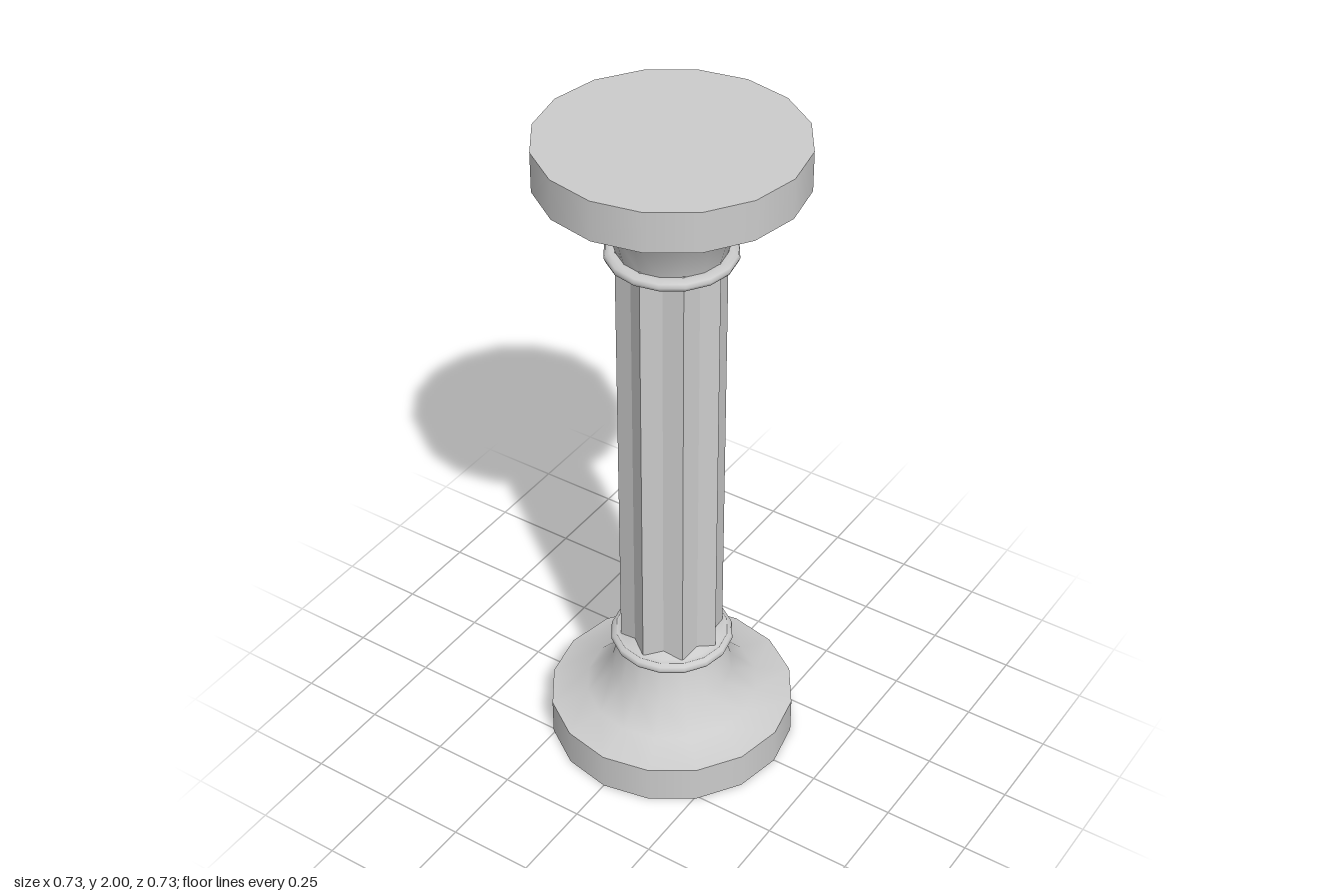
import * as THREE from 'three';

const SIDES = 16;
const material = new THREE.MeshStandardMaterial({ color: 0xcccccc });
const flatMaterial = new THREE.MeshStandardMaterial({ color: 0xcccccc, flatShading: true });

function addMesh(parent, name, geometry, mat = material) {
  const mesh = new THREE.Mesh(geometry, mat);
  mesh.name = name;
  parent.add(mesh);
  return mesh;
}

// Surface of revolution from [radius, height] pairs, listed bottom to top
function lathe(profile) {
  return new THREE.LatheGeometry(profile.map(([r, y]) => new THREE.Vector2(r, y)), SIDES);
}

// One end of the column: round slab, flared neck and collar
function createEnd(name) {
  const end = new THREE.Group();
  end.name = name;
  addMesh(end, 'slab', new THREE.CylinderGeometry(0.363, 0.363, 0.115, SIDES)).position.y = 0.0575;
  addMesh(end, 'flare', lathe([[0.363, 0.115], [0.255, 0.14], [0.18, 0.215], [0.148, 0.33]]));
  addMesh(end, 'collar', lathe([
    [0.145, 0.325], [0.165, 0.322], [0.177, 0.328], [0.181, 0.338],
    [0.177, 0.348], [0.165, 0.354],
  ]));
  // Sloping shoulder that meets the flutes in a zigzag
  addMesh(end, 'collarShoulder', lathe([[0.165, 0.354], [0.15, 0.355], [0.12, 0.38]]));
  return end;
}

// Fluted shaft: eight ridges with shallow valleys between them
function createShaft() {
  const ridge = 0.152, valley = 0.13;
  const geometry = new THREE.CylinderGeometry(1, 1, 1.36, SIDES, 1, true);
  const pos = geometry.attributes.position;
  for (let i = 0; i < pos.count; i++) {
    const step = Math.round(Math.atan2(pos.getX(i), pos.getZ(i)) / (Math.PI / 8));
    const r = step % 2 === 0 ? ridge : valley;
    pos.setXYZ(i, pos.getX(i) * r, pos.getY(i), pos.getZ(i) * r);
  }
  geometry.computeVertexNormals();
  return geometry;
}

export function createModel() {
  const column = new THREE.Group();
  column.name = 'column';

  column.add(createEnd('base'));

  // The capital is the base turned upside down
  const capital = createEnd('capital');
  capital.rotation.x = Math.PI;
  capital.position.y = 2;
  column.add(capital);

  addMesh(column, 'shaft', createShaft(), flatMaterial).position.y = 1;
  return column;
}
